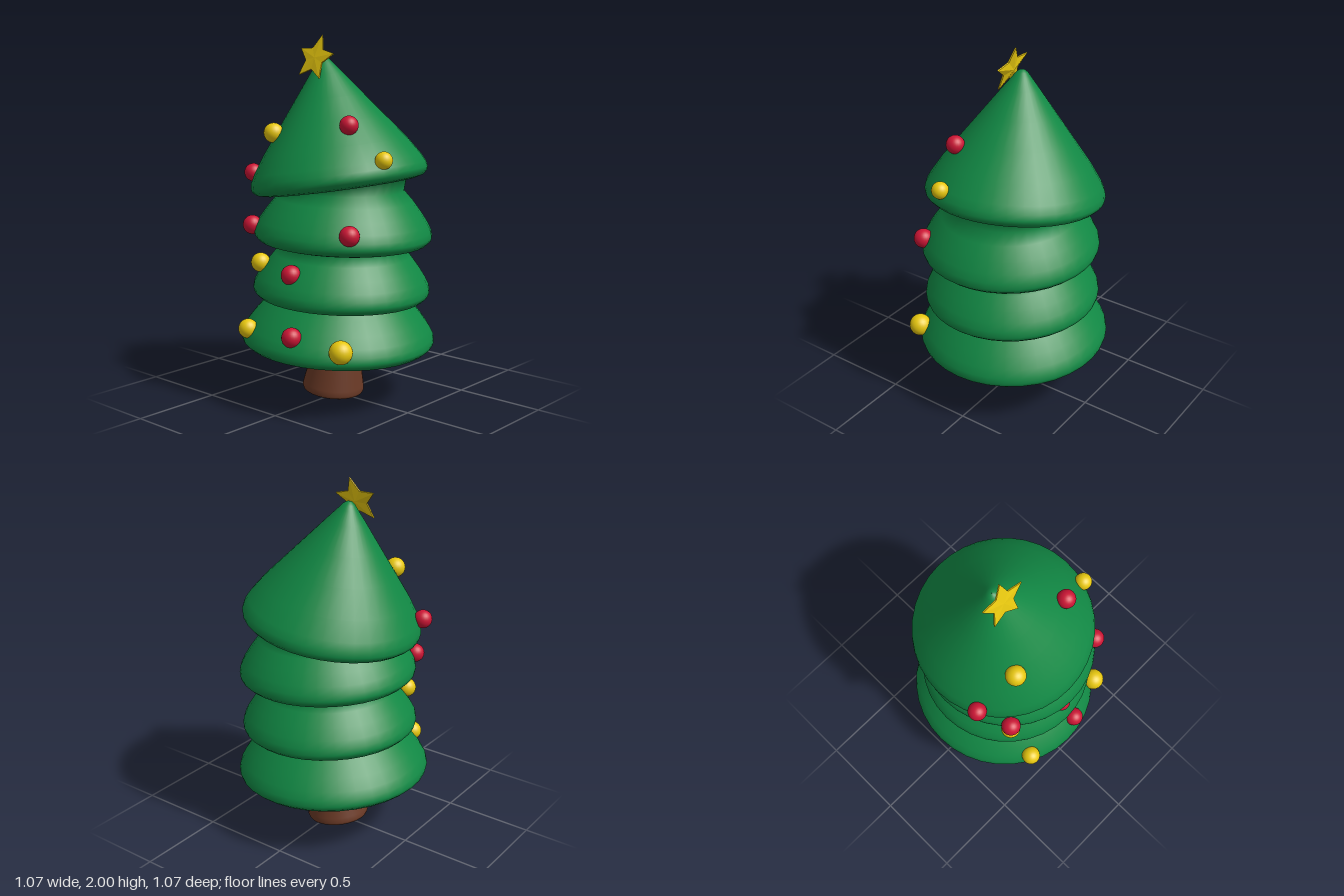
import * as THREE from 'three';

const GREEN = 0x118844, RED = 0xcc1535, YELLOW = 0xe8c80f, BROWN = 0x6b3a26;
const mat = (color, extra = {}) => new THREE.MeshStandardMaterial({ color, ...extra });

// Smooth skin through tilted circular rings, listed from bottom to top
function loft(rings, sides) {
  const pos = [], index = [];
  rings.forEach(({ r, y, frame }) => {
    for (let j = 0; j < sides; j++) {
      const a = (j / sides) * Math.PI * 2;
      const p = new THREE.Vector3(Math.cos(a) * r, y, Math.sin(a) * r).applyMatrix4(frame);
      pos.push(p.x, p.y, p.z);
    }
  });
  for (let i = 0; i < rings.length - 1; i++) {
    for (let j = 0; j < sides; j++) {
      const k = (j + 1) % sides;
      const a = i * sides + j, b = i * sides + k;
      index.push(a, a + sides, b, b, a + sides, b + sides);
    }
  }
  const geo = new THREE.BufferGeometry();
  geo.setAttribute('position', new THREE.Float32BufferAttribute(pos, 3));
  geo.setIndex(index);
  geo.computeVertexNormals();
  return geo;
}

// Four leaning tiers in one continuous skin
function makeFoliage() {
  const rim = [[0.37, 0.012], [0.425, 0], [0.462, 0.01], [0.483, 0.03], [0.488, 0.05], [0.482, 0.08], [0.462, 0.12]];
  const skirt = [[0.425, 0.175], [0.375, 0.24], [0.325, 0.295]];
  const cone = [[0.4, 0.215], [0.3, 0.345], [0.2, 0.475], [0.1, 0.605], [0.05, 0.668], [0.032, 0.692], [0.015, 0.705], [0.001, 0.708]];
  const tiers = [
    { x: 0, y: 0.297, z: 0, tilt: -0.045, lean: 0, scale: 1.1, top: skirt },
    { x: 0.022, y: 0.575, z: -0.005, tilt: -0.04, lean: 0, scale: 1, top: skirt },
    { x: 0.035, y: 0.882, z: -0.005, tilt: -0.04, lean: 0, scale: 1, top: skirt },
    { x: 0.01, y: 1.183, z: -0.012, tilt: 0.145, lean: 0.035, scale: 1, top: cone },
  ];
  const rings = [];
  tiers.forEach((t, i) => {
    const frame = new THREE.Matrix4().makeRotationFromEuler(new THREE.Euler(t.lean, 0, t.tilt));
    frame.setPosition(t.x, t.y, t.z);
    if (i === 0) rings.push({ r: 0.001, y: 0.012, frame }, { r: 0.2, y: 0.012, frame });
    [...rim, ...t.top].forEach(([r, y]) => rings.push({ r: r * t.scale, y, frame }));
  });
  return new THREE.Mesh(loft(rings, 36), mat(GREEN));
}

// Five-pointed star, nearly flat in front and ridged behind
function makeStar() {
  const rim = [];
  for (let i = 0; i < 10; i++) {
    const a = Math.PI / 2 + (i * Math.PI) / 5;
    const r = i % 2 ? 0.064 : 0.13;
    rim.push([Math.cos(a) * r, Math.sin(a) * r]);
  }
  const pos = [];
  rim.forEach((p, i) => {
    const q = rim[(i + 1) % 10], h = 0.004;
    pos.push(0, 0, 0.008, ...p, h, ...q, h);
    pos.push(0, 0, -0.022, ...q, -h, ...p, -h);
    pos.push(...p, h, ...p, -h, ...q, -h, ...p, h, ...q, -h, ...q, h);
  });
  const geo = new THREE.BufferGeometry();
  geo.setAttribute('position', new THREE.Float32BufferAttribute(pos, 3));
  geo.computeVertexNormals();
  const star = new THREE.Mesh(geo, mat(YELLOW, { flatShading: true }));
  star.position.set(-0.088, 1.876, 0.082);
  star.rotation.set(-0.33, 0, -0.13);
  return star;
}

export function createModel() {
  const tree = new THREE.Group();
  tree.name = 'decoratedTree';
  const add = (mesh, name, parent = tree) => { mesh.name = name; parent.add(mesh); return mesh; };

  // Tapered trunk with a softened foot, leaning slightly
  const trunkProfile = [[0, 0], [0.155, 0], [0.168, 0.006], [0.174, 0.02], [0.17, 0.045], [0.11, 0.34]];
  const trunk = add(new THREE.Mesh(
    new THREE.LatheGeometry(trunkProfile.map(([r, y]) => new THREE.Vector2(r, y)), 32), mat(BROWN)), 'trunk');
  trunk.position.set(-0.037, 0.021, -0.003);
  trunk.rotation.z = -0.11;

  add(makeFoliage(), 'foliage');
  add(makeStar(), 'star');

  // Baubles: x, y, z, radius
  const baubles = new THREE.Group();
  add(baubles, 'baubles');
  const sets = [
    ['redBauble', RED, [
      [0.25, 1.535, 0.195, 0.05], [-0.425, 1.247, 0.228, 0.05], [-0.305, 0.98, 0.355, 0.052],
      [0.375, 0.99, 0.335, 0.053], [0.04, 0.755, 0.412, 0.054], [0.105, 0.445, 0.48, 0.053]]],
    ['yellowBauble', YELLOW, [
      [-0.205, 1.48, 0.285, 0.054], [0.443, 1.363, 0.148, 0.046], [-0.275, 0.77, 0.325, 0.053],
      [-0.24, 0.43, 0.46, 0.053], [0.37, 0.398, 0.395, 0.062]]],
  ];
  for (const [name, color, list] of sets) {
    for (const [x, y, z, r] of list) {
      add(new THREE.Mesh(new THREE.SphereGeometry(r, 24, 16), mat(color)), name, baubles).position.set(x, y, z);
    }
  }
  return tree;
}
